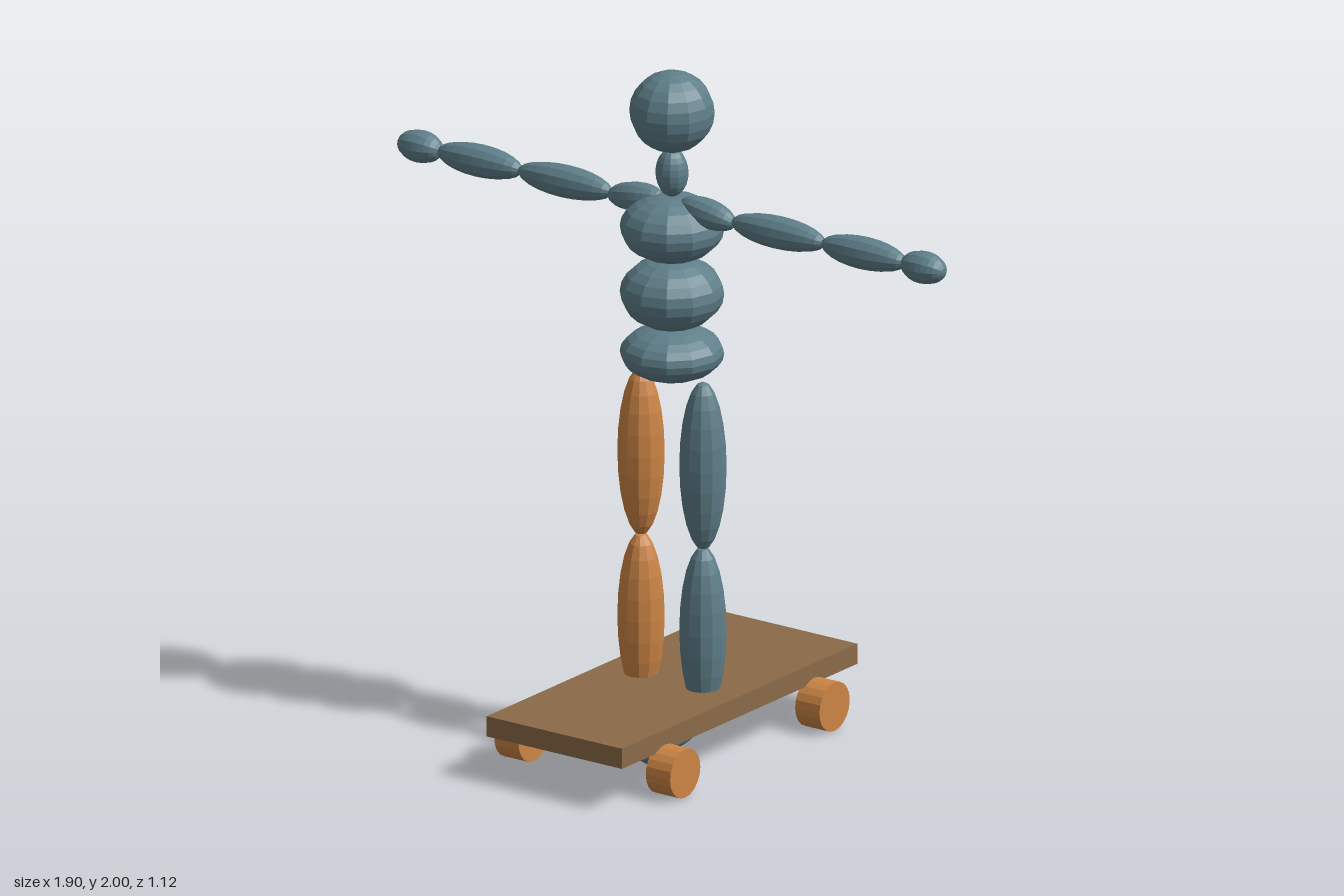
import * as THREE from 'three';

const flat = (name, color) => {
  const m = new THREE.MeshStandardMaterial({ color, flatShading: true });
  m.name = name;
  return m;
};

export function createModel() {
  const model = new THREE.Group();
  model.name = 'skateboardMannequin';
  const blue = flat('slateBlue', 0x5f7f8a);
  const orange = flat('orange', 0xcd8545);
  const brown = flat('woodBrown', 0x8b6b49);
  const ball = new THREE.SphereGeometry(1, 12, 12);
  const up = new THREE.Vector3(0, 1, 0);

  // Ellipsoid segment whose poles lie on the points a and b
  function segment(name, a, b, radius, material) {
    const start = new THREE.Vector3(...a);
    const end = new THREE.Vector3(...b);
    const axis = end.clone().sub(start);
    const mesh = new THREE.Mesh(ball, material);
    mesh.name = name;
    mesh.position.addVectors(start, end).multiplyScalar(0.5);
    mesh.scale.set(radius, axis.length() / 2, radius);
    mesh.quaternion.setFromUnitVectors(up, axis.normalize());
    model.add(mesh);
  }

  // Trunk and head
  segment('pelvis', [0, 1.087, 0], [0, 1.245, 0], 0.148, blue);
  segment('abdomen', [0, 1.238, 0], [0, 1.449, 0], 0.148, blue);
  segment('chest', [0, 1.44, 0], [0, 1.635, 0], 0.148, blue);
  segment('neck', [0, 1.63, 0], [0, 1.772, 0], 0.047, blue);
  segment('head', [0, 1.765, 0], [0, 2, 0], 0.121, blue);

  for (const [side, s, legColor] of [['left', 1, blue], ['right', -1, orange]]) {
    // Arm
    segment(side + 'Shoulder', [s * 0.03, 1.618, 0], [s * 0.22, 1.59, 0], 0.042, blue);
    segment(side + 'UpperArm', [s * 0.21, 1.598, 0], [s * 0.534, 1.598, 0], 0.047, blue);
    segment(side + 'Forearm', [s * 0.524, 1.598, 0], [s * 0.815, 1.598, 0], 0.047, blue);
    segment(side + 'Hand', [s * 0.804, 1.598, 0], [s * 0.951, 1.598, 0], 0.047, blue);

    // Leg
    const x = s * 0.108;
    segment(side + 'Thigh', [x, 0.6, 0], [x, 1.1, 0], 0.067, legColor);
    segment(side + 'Shin', [x, 0.11, 0], [x, 0.61, 0], 0.067, legColor);
    segment(side + 'Foot', [x, 0.138, -0.01], [x, 0.072, 0.192], 0.045, legColor);
    segment(side + 'Toe', [x, 0.075, 0.183], [x, 0.075, 0.293], 0.046, blue);
  }

  // Board
  const deck = new THREE.Mesh(new THREE.BoxGeometry(0.472, 0.06, 1.118), brown);
  deck.name = 'deck';
  deck.position.y = 0.16;
  model.add(deck);

  // Wheels
  const wheelGeometry = new THREE.CylinderGeometry(0.072, 0.072, 0.085, 20).rotateZ(Math.PI / 2);
  for (const s of [1, -1]) {
    for (const z of [0.355, -0.355]) {
      const wheel = new THREE.Mesh(wheelGeometry, orange);
      wheel.name = (z > 0 ? 'front' : 'rear') + (s > 0 ? 'Left' : 'Right') + 'Wheel';
      wheel.position.set(s * 0.264, 0.074, z);
      model.add(wheel);
    }
  }
  return model;
}
